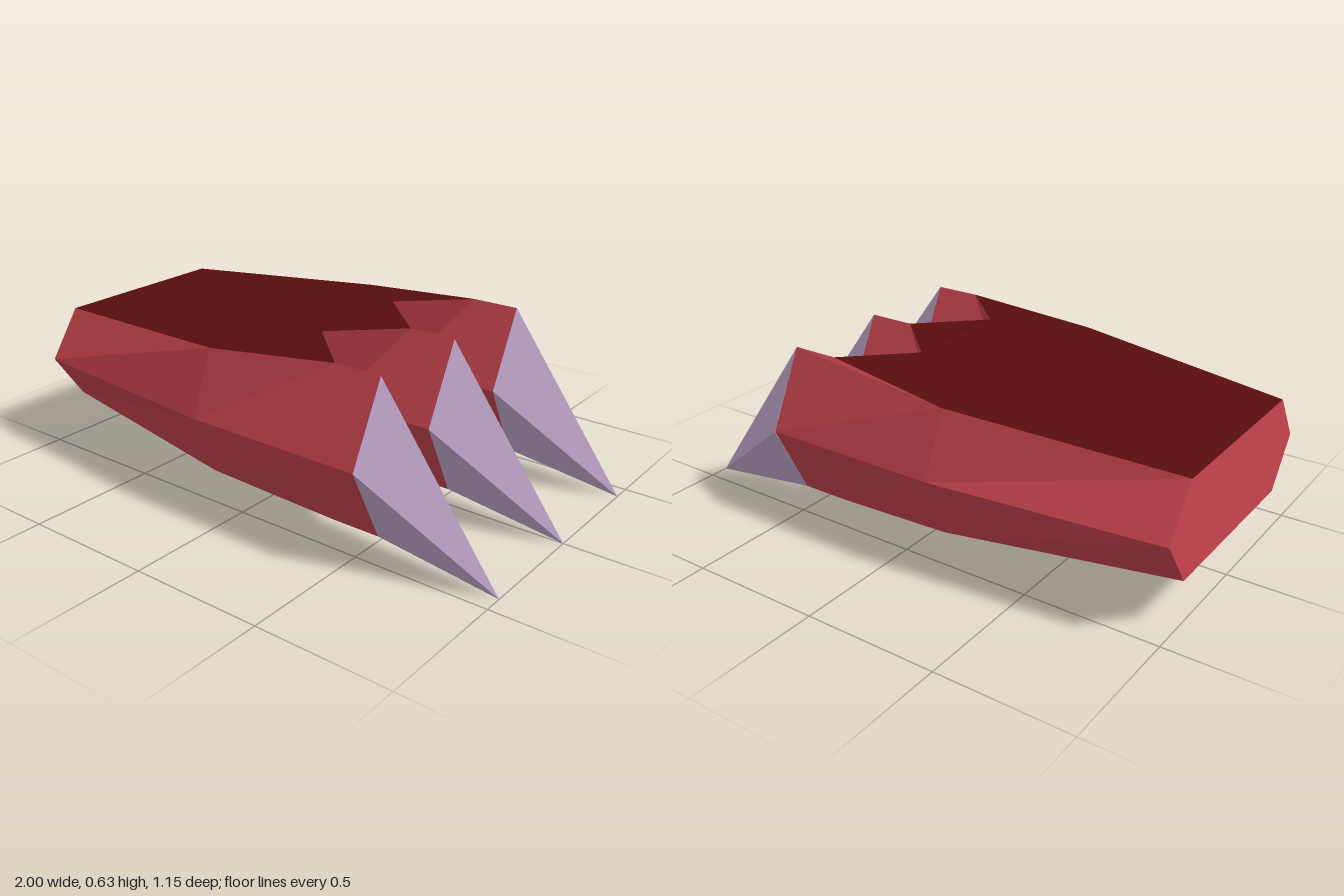
import * as THREE from 'three';

const MID = 0.345; // height of the widest line; the body mirrors above and below it

const red = new THREE.MeshStandardMaterial({ color: 0xca454f });
red.name = 'red hide';
const darkRed = new THREE.MeshStandardMaterial({ color: 0x580d0d });
darkRed.name = 'dark red top';
const lilac = new THREE.MeshStandardMaterial({ color: 0xc8acd3 });
lilac.name = 'lilac claw';

const flipY = ([x, y, z]) => [x, 2 * MID - y, z];
const flipZ = ([x, y, z]) => [x, y, -z];
const mirror = (faces, flip) => faces.map((f) => f.map(flip).reverse());
const bothSides = (faces) => [...faces, ...mirror(faces, flipZ)];

// Faceted mesh from convex polygons, each fanned from its first corner
function facetMesh(name, faces, material) {
  const pos = [];
  for (const f of faces) {
    for (let i = 1; i < f.length - 1; i++) pos.push(...f[0], ...f[i], ...f[i + 1]);
  }
  const geo = new THREE.BufferGeometry();
  geo.setAttribute('position', new THREE.Float32BufferAttribute(pos, 3));
  geo.computeVertexNormals();
  const mesh = new THREE.Mesh(geo, material);
  mesh.name = name;
  return mesh;
}

export function createModel() {
  const group = new THREE.Group();
  group.name = 'clawedFoot';

  // Top outline corners, from the ankle forward, and their centre line points
  const ankle = [-1, 0.525, 0.36], ankleMid = [-1, 0.525, 0];
  const knuckle = [-0.15, 0.58, 0.475], knuckleMid = [-0.15, 0.58, 0];
  const notch = [0.135, 0.63, 0.215], notchMid = [0.135, 0.63, 0];
  const outerRoot = [0.36, 0.63, 0.43], middleRoot = [0.36, 0.63, 0];
  // Toe ridge ends
  const outerTip = [0.54, 0.63, 0.43], middleTip = [0.54, 0.63, 0];
  // Widest line
  const ankleSide = [-1, MID, 0.485], ankleCore = [-1, MID, 0];
  const knuckleSide = [-0.15, MID, 0.57], toeOuter = [0.54, MID, 0.572];
  const toeInner = [0.54, MID, 0.287], webOuter = [0.135, MID, 0.287];
  const midToeSide = [0.54, MID, 0.143], webInner = [0.135, MID, 0.143];

  const plate = bothSides([
    [ankleMid, ankle, knuckle, knuckleMid],
    [knuckleMid, knuckle, notch, notchMid],
    [knuckle, outerRoot, notch],
    [notchMid, notch, middleRoot],
  ]);

  const upperSides = bothSides([
    [ankleSide, knuckleSide, knuckle, ankle], // flank
    [knuckleSide, toeOuter, outerTip, outerRoot, knuckle], // outer toe, outside
    [outerTip, toeInner, webOuter, outerRoot], // outer toe, inside
    [outerRoot, webOuter, notch], // webs between the toes
    [notch, webOuter, webInner],
    [middleRoot, notch, webInner],
    [middleTip, middleRoot, webInner, midToeSide], // middle toe
    [ankleMid, ankleCore, ankleSide, ankle], // ankle end
  ]);

  group.add(facetMesh('footTop', plate, darkRed));
  group.add(facetMesh('footSole', mirror(plate, flipY), red));
  group.add(facetMesh('footSides', [...upperSides, ...mirror(upperSides, flipY)], red));

  // Claws: four-sided spikes drooping to the ground
  for (const [side, z] of [['left', -0.43], ['middle', 0], ['right', 0.43]]) {
    const ring = [[0.54, 0.63, z], [0.54, MID, z + 0.143], [0.54, 0.06, z], [0.54, MID, z - 0.143]];
    const faces = ring.map((p, i) => [p, ring[(i + 1) % 4], [1, 0, z]]);
    group.add(facetMesh(side + 'Claw', faces, lilac));
  }
  return group;
}
